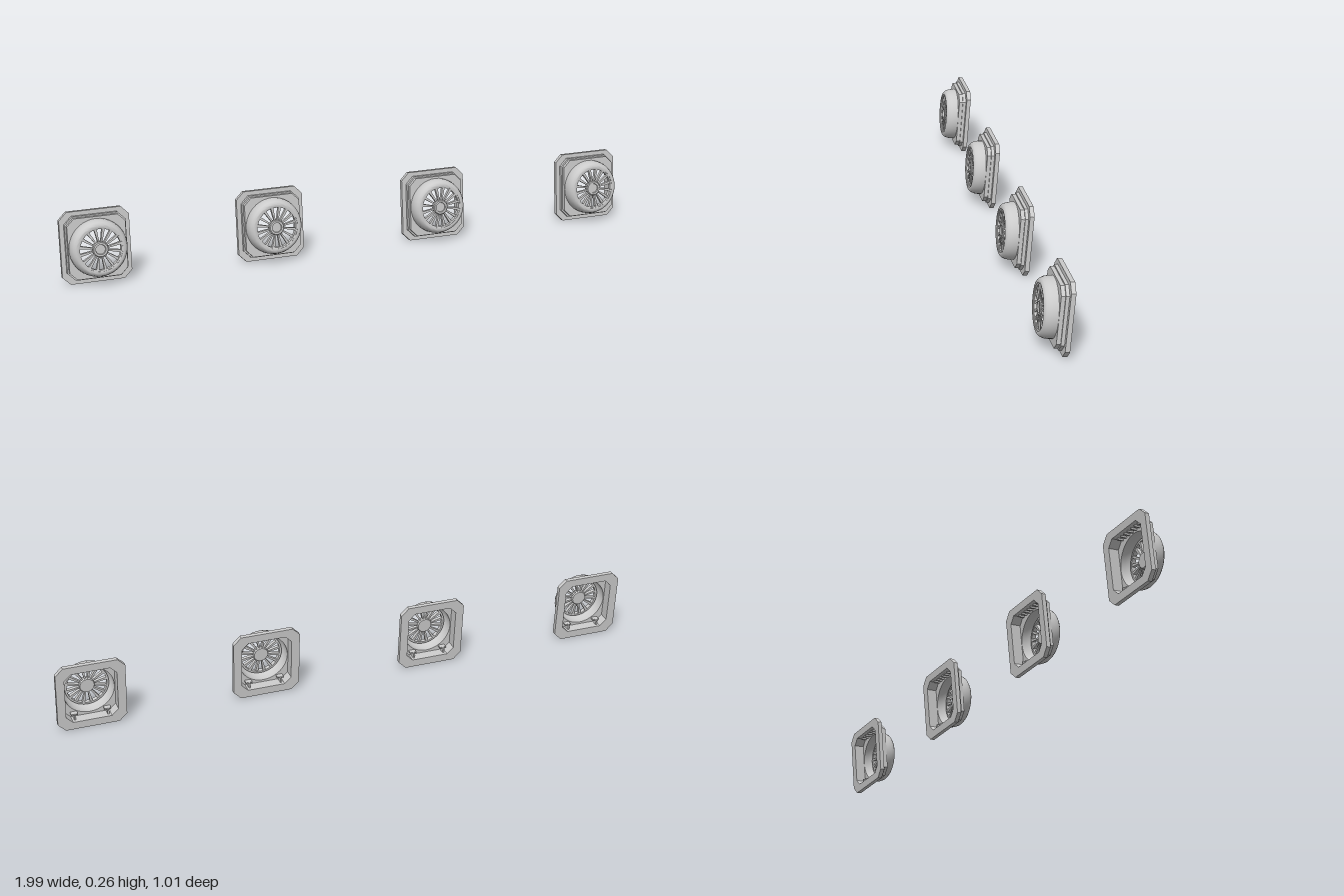
import * as THREE from 'three';
import { toCreasedNormals } from 'three/addons/utils/BufferGeometryUtils.js';

const material = new THREE.MeshStandardMaterial({ color: 0xcccccc });

function add(parent, name, geometry, x = 0, y = 0, z = 0) {
  const mesh = new THREE.Mesh(geometry, material);
  mesh.name = name;
  mesh.position.set(x, y, z);
  parent.add(mesh);
  return mesh;
}

// Rectangle with cut corners
function octagon(w, h, c, Type = THREE.Shape) {
  const a = w / 2, b = h / 2;
  return new Type([
    [-a + c, -b], [a - c, -b], [a, -b + c], [a, b - c],
    [a - c, b], [-a + c, b], [-a, b - c], [-a, -b + c],
  ].map(([x, y]) => new THREE.Vector2(x, y)));
}

function extrude(outer, hole, depth) {
  outer.holes.push(hole);
  return new THREE.ExtrudeGeometry(outer, { depth, bevelEnabled: false, curveSegments: 24 });
}

// Ring or solid turned around the z axis from [radius, z] points
function turned(points, segments = 40) {
  const g = new THREE.LatheGeometry(points.map(([r, z]) => new THREE.Vector2(r, z)), segments);
  return toCreasedNormals(g.rotateX(Math.PI / 2), 0.6);
}

function createVent() {
  const vent = new THREE.Group();
  const opening = () => octagon(0.188, 0.2, 0.024, THREE.Path);

  // Mounting flange and the stepped box in front of it
  add(vent, 'flange', extrude(octagon(0.25, 0.258, 0.028), opening(), 0.016));
  add(vent, 'housingStep', extrude(octagon(0.218, 0.228, 0.028), opening(), 0.012), 0, 0, 0.016);
  add(vent, 'housingWall', extrude(octagon(0.208, 0.218, 0.026), opening(), 0.01), 0, 0, 0.028);
  const circle = new THREE.Path().absarc(0, 0, 0.092, 0, Math.PI * 2);
  add(vent, 'housingFront', extrude(octagon(0.208, 0.218, 0.026), circle, 0.004), 0, 0, 0.038);

  // Round duct with a curved front lip
  add(vent, 'duct', turned([
    [0.102, 0.038], [0.102, 0.055], [0.1, 0.068], [0.095, 0.08], [0.088, 0.087], [0.084, 0.088],
    [0.078, 0.087], [0.078, 0.08], [0.088, 0.07], [0.092, 0.055], [0.092, 0.038], [0.102, 0.038],
  ]));

  // Grille: rings, hub and radial vanes
  add(vent, 'grilleRing', turned([
    [0.08, 0.068], [0.08, 0.086], [0.073, 0.084], [0.073, 0.068], [0.08, 0.068],
  ]));
  add(vent, 'hub', turned([
    [0, 0.064], [0.026, 0.064], [0.028, 0.068], [0.028, 0.083], [0.025, 0.086],
    [0.018, 0.086], [0.017, 0.081], [0, 0.081],
  ], 24));
  const vaneShape = new THREE.Shape([
    new THREE.Vector2(0.025, -0.0025), new THREE.Vector2(0.077, -0.005),
    new THREE.Vector2(0.077, 0.005), new THREE.Vector2(0.025, 0.0025),
  ]);
  const vaneGeometry = new THREE.ExtrudeGeometry(vaneShape, { depth: 0.013, bevelEnabled: false });
  const vaneCount = 16;
  for (let i = 0; i < vaneCount; i++) {
    add(vent, 'vane', vaneGeometry, 0, 0, 0.069).rotation.z = ((i + 0.5) / vaneCount) * Math.PI * 2;
  }

  // Small ribs under the top edge of the opening
  const rib = new THREE.BoxGeometry(0.005, 0.006, 0.022);
  for (let i = -3; i <= 3; i++) add(vent, 'topRib', rib, i * 0.02, 0.097, 0.026);

  // Clips at the bottom of the opening
  for (const side of [-1, 1]) {
    add(vent, 'clipPost', new THREE.BoxGeometry(0.006, 0.02, 0.026), side * 0.06, -0.09, 0.025);
    add(vent, 'clipArm', new THREE.BoxGeometry(0.024, 0.005, 0.018), side * 0.06, -0.082, 0.028);
  }
  return vent;
}

export function createModel() {
  const model = new THREE.Group();
  model.name = 'ventRow';

  // Four equal vents in a slanted row, each leaning slightly back
  for (let i = 0; i < 4; i++) {
    const vent = createVent();
    vent.name = 'vent' + (i + 1);
    vent.position.set(-0.872 + i * 0.584, 0.1285, -0.441 + i * 0.277);
    vent.rotation.set(THREE.MathUtils.degToRad(-5), THREE.MathUtils.degToRad(-25.4), 0, 'YXZ');
    model.add(vent);
  }
  return model;
}
